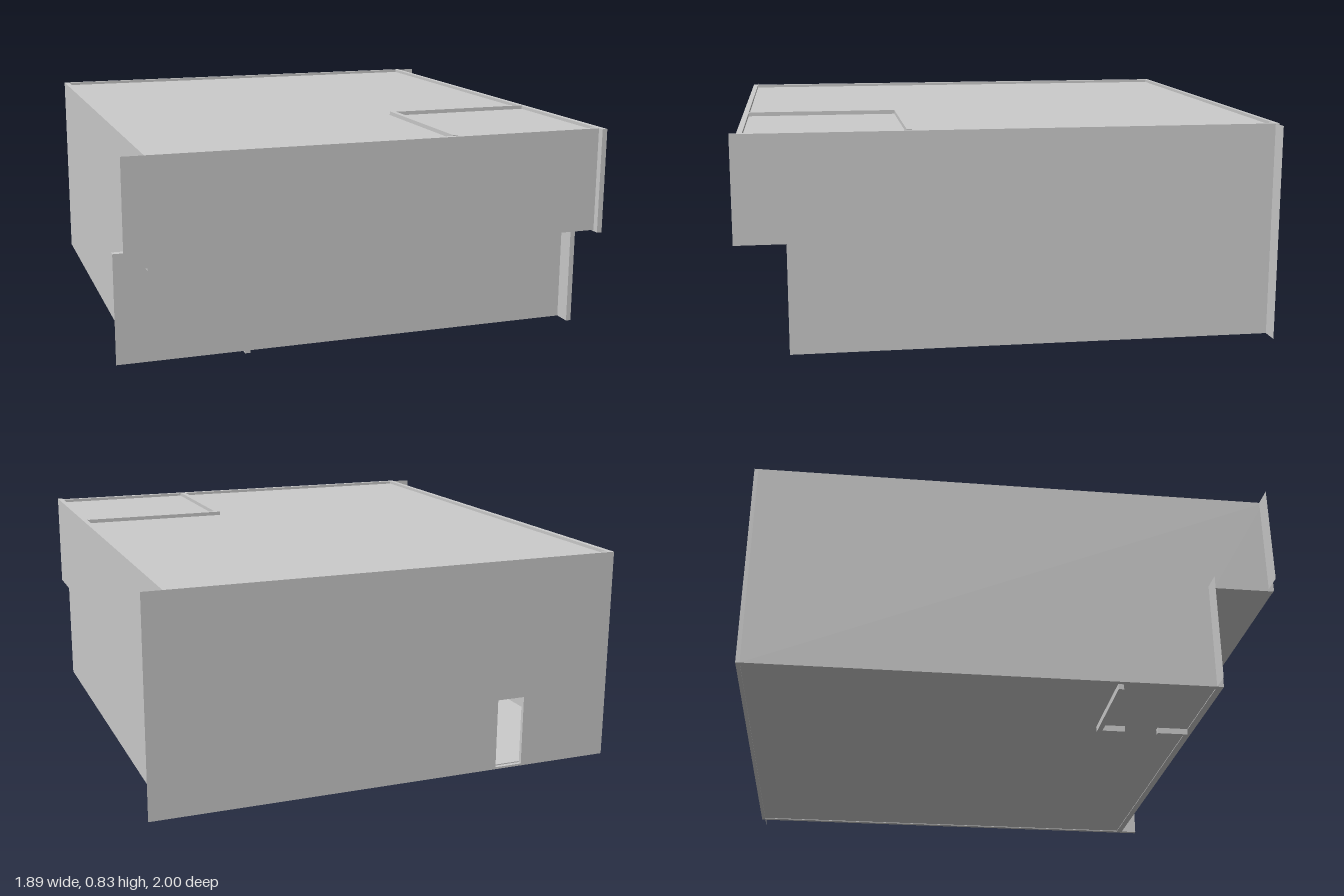
import * as THREE from 'three';

const mat = new THREE.MeshStandardMaterial({ color: 0xcccccc, flatShading: true });
const FLOOR = 0.02, STEP = 0.435, TOP = 0.827, CEIL = 0.815;
const HALF = 0.87, WALL = 0.02;

export function createModel() {
  const model = new THREE.Group();

  const add = (name, geometry) => {
    const mesh = new THREE.Mesh(geometry, mat);
    mesh.name = name;
    model.add(mesh);
    return mesh;
  };
  // Box given by its extents on each axis
  const block = (name, x0, x1, y0, y1, z0, z1) =>
    add(name, new THREE.BoxGeometry(x1 - x0, y1 - y0, z1 - z0)
      .translate((x0 + x1) / 2, (y0 + y1) / 2, (z0 + z1) / 2));
  // Wall end running past a corner: two facing panes, open at the end
  const fin = (name, x0, x1, y0, y1, zBack, zFront) => {
    for (const [z, turn] of [[zFront, 0], [zBack, Math.PI]]) {
      add(name, new THREE.PlaneGeometry(x1 - x0, y1 - y0).rotateY(turn)
        .translate((x0 + x1) / 2, (y0 + y1) / 2, z));
    }
  };
  // Side wall with its lower front corner set back
  const sideWall = (name, xOuter, zBack, zFront, zLower) => {
    const shape = new THREE.Shape([
      [zBack, FLOOR], [zLower, FLOOR], [zLower, STEP - 0.005],
      [zFront, STEP - 0.005], [zFront, TOP], [zBack, TOP],
    ].map(([z, y]) => new THREE.Vector2(z, y)));
    add(name, new THREE.ExtrudeGeometry(shape, { depth: WALL, bevelEnabled: false })
      .rotateY(-Math.PI / 2).translate(xOuter, 0, 0));
  };

  // Side walls
  sideWall('leftWall', HALF, -0.985, 1, 0.813);
  sideWall('rightWall', -HALF + WALL, -0.985, 0.973, 0.743);

  // Back wall with a doorway
  const back = new THREE.Shape([
    new THREE.Vector2(-HALF, FLOOR), new THREE.Vector2(HALF, FLOOR),
    new THREE.Vector2(HALF, TOP), new THREE.Vector2(-HALF, TOP),
  ]);
  back.holes.push(new THREE.Path([
    new THREE.Vector2(-0.51, FLOOR + 0.008), new THREE.Vector2(-0.51, 0.295),
    new THREE.Vector2(-0.4, 0.295), new THREE.Vector2(-0.4, FLOOR + 0.008),
  ]));
  add('backWall', new THREE.ExtrudeGeometry(back, { depth: 0.015, bevelEnabled: false })
    .translate(0, 0, -1));
  fin('backWallEnd', HALF, 0.945, FLOOR, TOP, -1, -0.985);

  // Front walls: upper storey overhangs the lower one
  block('upperFrontWall', -HALF, HALF - WALL, STEP, TOP, 0.955, 0.975);
  fin('upperFrontWallEnd', -0.95, -HALF, STEP + 0.005, TOP, 0.955, 0.975);
  block('lowerFrontWall', -HALF, HALF - WALL, FLOOR, STEP, 0.72, 0.745);
  fin('lowerFrontWallEnd', -0.95, -HALF, FLOOR, STEP, 0.72, 0.745);
  add('lowerFrontWallCap', new THREE.PlaneGeometry(0.08, 0.025).rotateX(-Math.PI / 2)
    .translate(-0.91, STEP, 0.7325));

  // Slabs
  const inner = HALF - WALL;
  block('floor', -inner, inner, FLOOR + 0.003, FLOOR + 0.012, -0.985, 0.72);
  block('upperFloor', -inner, inner, STEP, STEP + 0.01, -0.985, 0.955);
  block('ceiling', -inner, inner, CEIL - 0.01, CEIL, -0.985, 0.955);

  // Lower corner room, with a door gap in its side
  block('lowerPartition', -inner, -0.44, 0, STEP, 0.36, 0.38);
  for (const [z0, z1] of [[0.38, 0.47], [0.6, 0.72]]) {
    block('lowerPartitionSide', -0.46, -0.44, 0, STEP, z0, z1);
  }
  block('lowerDoorLintel', -0.46, -0.44, 0.3, STEP, 0.47, 0.6);

  // Upper corner room
  block('upperPartition', 0.26, inner, STEP, TOP + 0.003, 0.36, 0.38);
  block('upperPartitionSide', 0.26, 0.28, STEP, TOP + 0.003, 0.38, 0.955);

  return model;
}
